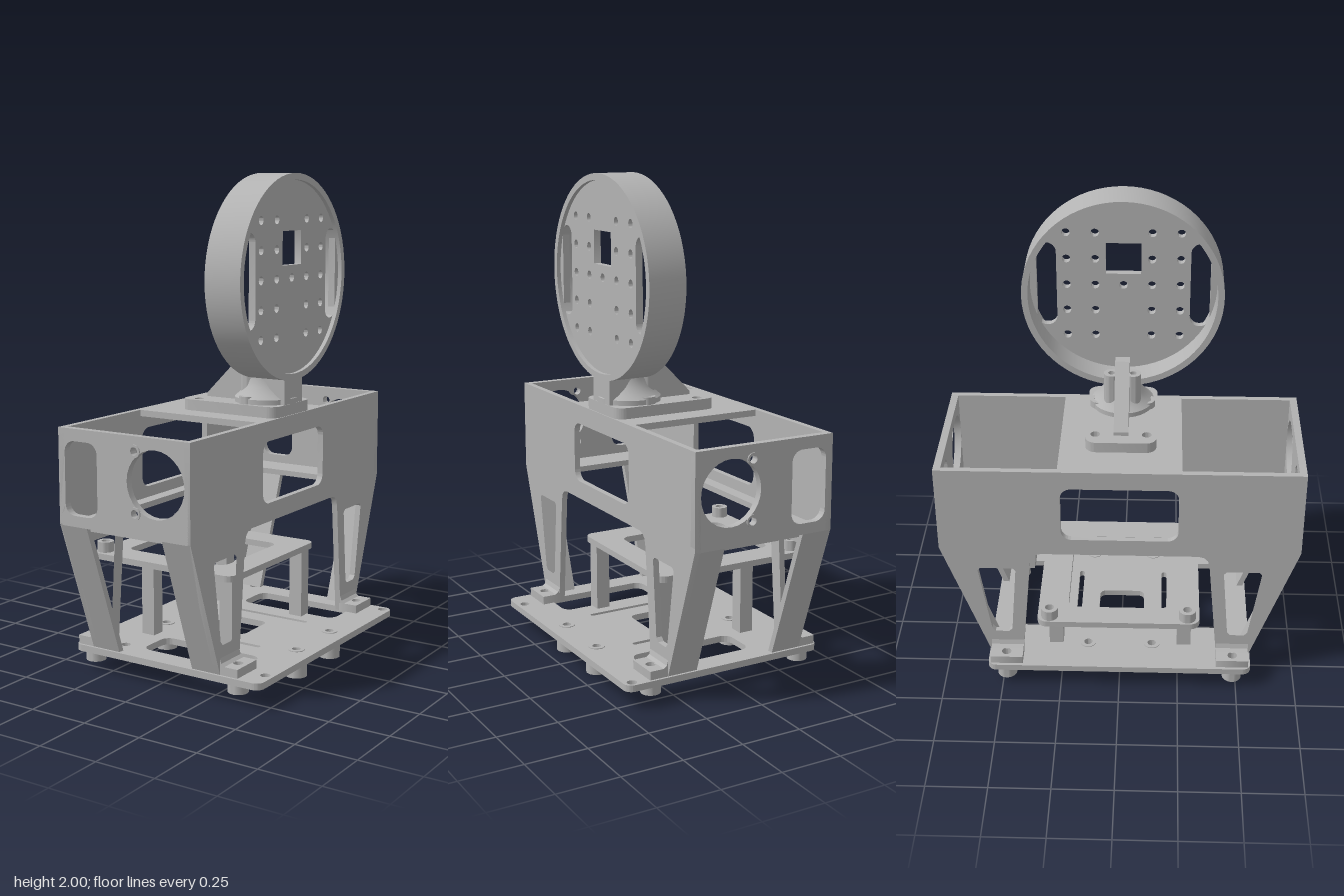
import * as THREE from 'three';
import { toCreasedNormals } from 'three/addons/utils/BufferGeometryUtils.js';

const grey = new THREE.MeshStandardMaterial({ color: 0xb3b3b3 });
grey.name = 'plain grey';

// Rounded rectangle and circle outlines, for plates and for their holes
function rect(x0, x1, y0, y1, r = 0.001) {
  const s = new THREE.Shape();
  s.absarc(x1 - r, y0 + r, r, -Math.PI / 2, 0);
  s.absarc(x1 - r, y1 - r, r, 0, Math.PI / 2);
  s.absarc(x0 + r, y1 - r, r, Math.PI / 2, Math.PI);
  s.absarc(x0 + r, y0 + r, r, Math.PI, Math.PI * 1.5);
  s.closePath();
  return s;
}
function circle(x, y, r) {
  const s = new THREE.Shape();
  s.absarc(x, y, r, 0, Math.PI * 2);
  return s;
}
const poly = (pts) => new THREE.Shape(pts.map((p) => new THREE.Vector2(p[0], p[1])));

// Plate between two positions along an axis. Shapes are drawn as
// (x, -z) for axis y, (-z, y) for axis x and (x, y) for axis z.
function plate(shape, holes, axis, from, to) {
  shape.holes.push(...holes);
  const g = new THREE.ExtrudeGeometry(shape, { depth: to - from, bevelEnabled: false, curveSegments: 14 });
  g.translate(0, 0, from);
  if (axis === 'y') g.rotateX(-Math.PI / 2);
  if (axis === 'x') g.rotateY(Math.PI / 2);
  return toCreasedNormals(g, 0.6);
}
const box = (x0, x1, y0, y1, z0, z1) =>
  new THREE.BoxGeometry(x1 - x0, y1 - y0, z1 - z0).translate((x0 + x1) / 2, (y0 + y1) / 2, (z0 + z1) / 2);
const lathe = (pts, n) =>
  toCreasedNormals(new THREE.LatheGeometry(pts.map((p) => new THREE.Vector2(p[0], p[1])), n), 0.6);

// Short hollow cylinder standing on y0
const bush = (x, z, r, hole, y0, y1) =>
  lathe([[hole, y0], [r, y0], [r, y1], [hole, y1], [hole, y0]], 28).translate(x, 0, z);

export function createModel() {
  const model = new THREE.Group();
  const add = (name, geometry) => {
    const m = new THREE.Mesh(geometry, grey);
    m.name = name;
    model.add(m);
    return m;
  };
  const ends = [-1, 1];

  // Base plate with windows, slots and screw holes
  const baseHoles = [rect(-0.07, 0.12, -0.1, 0.1, 0.03)];
  for (const s of ends) {
    const a = s * 0.295, b = s * 0.463;
    baseHoles.push(rect(-0.13, 0.33, Math.min(a, b), Math.max(a, b), 0.04));
    baseHoles.push(rect(-0.08, 0.26, s * 0.19 - 0.011, s * 0.19 + 0.011, 0.01));
    for (const x of [-0.35, 0.342]) baseHoles.push(circle(x, s * 0.483, 0.018));
    for (const x of [-0.24, 0.4]) baseHoles.push(circle(x, s * 0.138, 0.018));
  }
  for (const x of [-0.215, 0.45]) for (const z of [-0.53, 0.46]) baseHoles.push(circle(x, -z, 0.02));
  add('basePlate', plate(rect(-0.4, 0.485, -0.56, 0.56, 0.035), baseHoles, 'y', 0.08, 0.107));

  // Feet and the raised rims round the screw holes
  for (const s of ends) {
    for (const x of [-0.35, 0.342]) add('shortFoot', bush(x, s * 0.483, 0.041, 0.02, 0.028, 0.08));
    for (const x of [-0.24, 0.4]) {
      add('longFoot', bush(x, s * 0.138, 0.044, 0.02, 0, 0.08));
      add('holeRim', bush(x, s * 0.138, 0.034, 0.018, 0.1, 0.11));
    }
  }

  // Raised tray on four posts
  const trayHoles = [rect(-0.39, 0.1, -0.21, 0.21, 0.04)];
  for (const s of ends) trayHoles.push(circle(-0.45, s * 0.283, 0.018));
  add('trayPlate', plate(rect(-0.49, 0.215, -0.333, 0.333, 0.04), trayHoles, 'y', 0.4, 0.426));
  for (const s of ends) {
    add('trayBoss', bush(-0.45, s * 0.283, 0.035, 0.018, 0.42, 0.47));
    for (const x of [-0.215, 0.17])
      add('trayPost', box(x - 0.03, x + 0.03, 0.1, 0.405, s * 0.276 - 0.03, s * 0.276 + 0.03));
  }

  // Side walls, each with two tapering legs
  const half = [[0.745, 1.04], [0.745, 0.66], [0.55, 0.107], [0.415, 0.107], [0.372, 0.585], [0.365, 0.612], [0.35, 0.628], [0.325, 0.635]];
  const mirrored = half.map(([a, b]) => [-a, b]).reverse();
  const legCut = [[0.58, 0.557], [0.445, 0.557], [0.433, 0.545], [0.458, 0.235], [0.472, 0.22], [0.53, 0.22], [0.544, 0.235], [0.591, 0.545]];
  for (const [x0, x1] of [[-0.31, -0.285], [0.277, 0.302]]) {
    const cuts = [rect(-0.24, 0.24, 0.71, 0.96, 0.045)];
    for (const s of ends) cuts.push(poly(legCut.map(([a, b]) => [s * a, b])));
    add('sideWall', plate(poly([...half, ...mirrored]), cuts, 'x', x0, x1));
  }

  for (const s of ends) {
    // Sloping outer flanges of the legs
    const flange = [[0.745, 0.66], [0.55, 0.107], [0.524, 0.107], [0.719, 0.66]].map(([a, b]) => [s * a, b]);
    add('legFlange', plate(poly(flange), [], 'x', -0.31, -0.18));
    add('legFlange', plate(poly(flange), [], 'x', 0.173, 0.302));

    // Screw-down tabs with a small fillet against the wall
    for (const [x0, x1, hx, wall, dir] of [[-0.387, -0.3, -0.35, -0.31, -1], [0.295, 0.381, 0.342, 0.302, 1]]) {
      const z0 = Math.min(s * 0.412, s * 0.55), z1 = Math.max(s * 0.412, s * 0.55);
      add('legTab', plate(rect(x0, x1, -z1, -z0, 0.003), [circle(hx, -s * 0.483, 0.02)], 'y', 0.105, 0.142));
      add('tabFillet', plate(poly([[wall, 0.14], [wall + dir * 0.022, 0.14], [wall + dir * 0.006, 0.152], [wall, 0.172]]), [], 'z', z0, z1));
    }

    // End plates with a round opening, two screw holes and a tall window
    const openings = [circle(0.146, 0.865, 0.131), rect(-0.28, -0.125, 0.7, 0.992, 0.045)];
    for (const y of [0.745, 0.983]) openings.push(circle(0.053, y, 0.017));
    const z = s > 0 ? 0.715 : -0.745;
    add('endPlate', plate(rect(-0.31, 0.302, 0.656, 1.04, 0.02), openings, 'z', z, z + 0.03));
    for (const y of [0.745, 0.983]) {
      const rim = bush(0, 0, 0.025, 0.016, -0.004, 0.004).rotateX(Math.PI / 2);
      add('endHoleRim', rim.translate(0.053, y, s * 0.746));
    }
  }

  // Floor frame and top bridge between the side walls
  add('floorFrame', plate(rect(-0.287, 0.279, -0.72, 0.72), [rect(-0.23, 0.225, -0.573, 0.573, 0.05)], 'y', 0.64, 0.664));
  add('topBridge', box(-0.287, 0.279, 1.014, 1.04, -0.25, 0.25));

  // Disc mount: foot plate, flared neck, gusset and screw sleeves
  const mountHoles = [];
  for (const s of ends) mountHoles.push(circle(-0.09, s * 0.105, 0.02));
  add('mountPlate', plate(rect(-0.157, 0.298, -0.145, 0.145, 0.045), mountHoles, 'y', 1.038, 1.085));
  add('mountNeck', lathe([[0, 1.08], [0.13, 1.08], [0.13, 1.105], [0.11, 1.122], [0.088, 1.15], [0.075, 1.185], [0.075, 1.2], [0, 1.2]], 40)
    .translate(0.17, 0, 0));
  add('neckBlock', box(0.145, 0.296, 1.08, 1.195, -0.07, 0.07));
  add('gusset', plate(poly([[-0.1, 1.08], [-0.1, 1.1], [0.11, 1.312], [0.15, 1.312], [0.15, 1.08]]), [], 'z', -0.03, 0.03));
  for (const s of ends) {
    add('screwSleeve', bush(0.142, s * 0.1, 0.036, 0.02, 1.08, 1.115));
    add('neckSleeve', bush(0.112, s * 0.045, 0.032, 0.014, 1.08, 1.258));
  }

  // Round disc: rim plus a perforated web
  const rim = lathe([[0.384, 0.142], [0.41, 0.142], [0.41, 0.302], [0.384, 0.302], [0.384, 0.142]], 72);
  add('discRim', rim.rotateZ(-Math.PI / 2).translate(0, 1.59, 0));
  const webHoles = [rect(-0.072, 0.072, 1.64, 1.775), circle(0, 1.59, 0.017)];
  for (const s of ends) {
    webHoles.push(rect(s * 0.315 - 0.041, s * 0.315 + 0.041, 1.405, 1.775, 0.04));
    for (const z of [0.116, 0.233])
      for (let row = -2; row <= 2; row++) webHoles.push(circle(s * z, 1.59 + row * 0.115, 0.017));
  }
  const web = new THREE.Shape();
  web.absarc(0, 1.59, 0.39, 0, Math.PI * 2);
  add('discWeb', plate(web, webHoles, 'x', 0.255, 0.285));

  return model;
}
